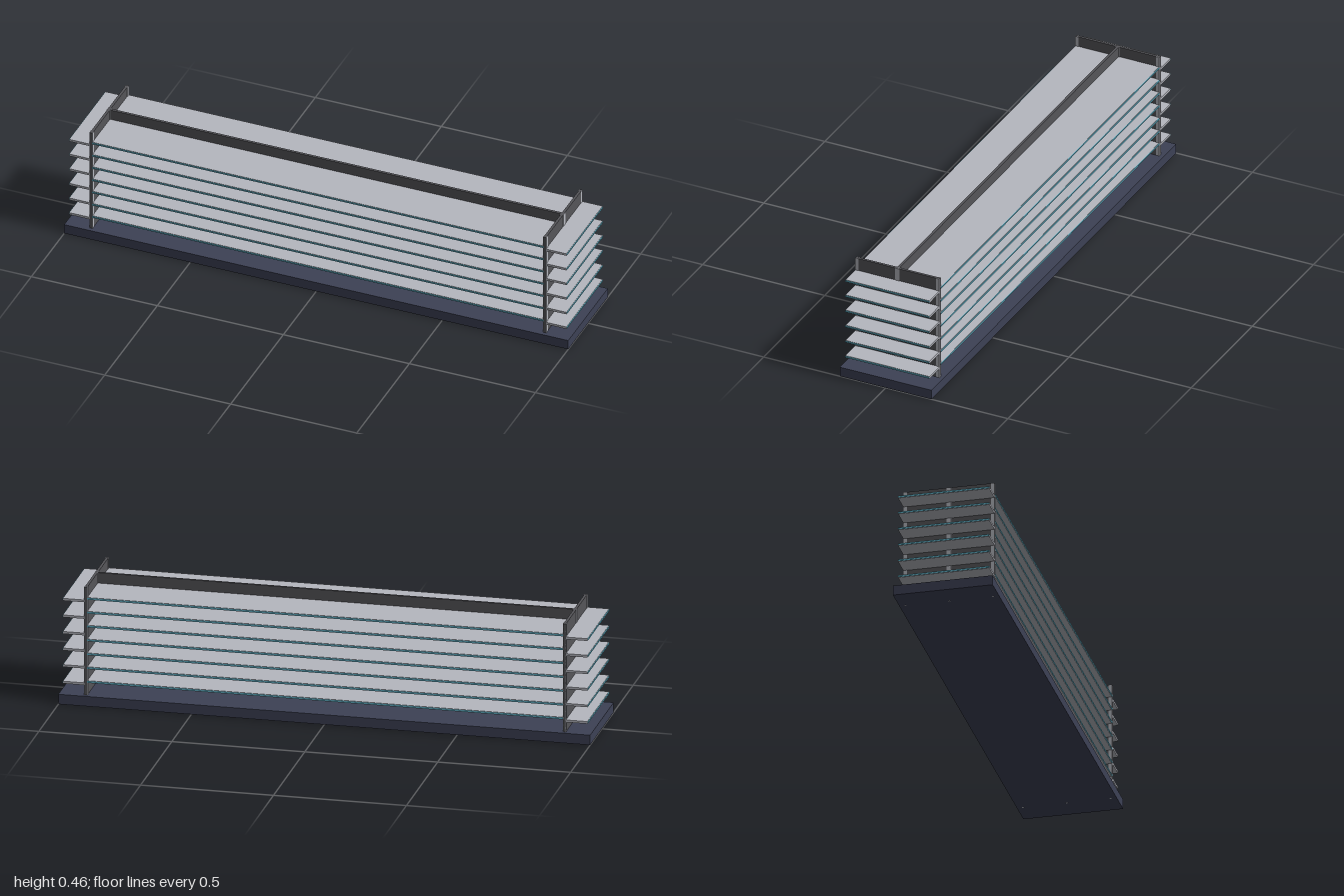
import * as THREE from 'three';

const mat = (name, color) => {
  const m = new THREE.MeshStandardMaterial({ color });
  m.name = name;
  return m;
};

export function createModel() {
  const model = new THREE.Group();
  model.name = 'shelfUnit';
  const navy = mat('navy base', 0x3d4155);
  const dark = mat('dark panel', 0x555559);
  const light = mat('light grey', 0xb5b7bf);
  const teal = mat('teal edge', 0x62b4ca);

  const box = (name, material, w, h, d, x, y, z) => {
    const m = new THREE.Mesh(new THREE.BoxGeometry(w, h, d), material);
    m.name = name;
    m.position.set(x, y, z);
    model.add(m);
    return m;
  };

  const baseH = 0.038, top = 0.456, depth = 0.344;
  const wallH = top - baseH, wallY = (top + baseH) / 2;
  const shelfT = 0.009, edgeT = 0.006;

  // Base plinth and the central back-to-back partition
  box('base', navy, 2, baseH, 0.376, 0, baseH / 2, 0);
  box('centrePartition', dark, 1.79, wallH, 0.01, 0, wallY, 0);

  // Long shelves on both faces, with a price rail along each outer edge
  for (let i = 0; i < 7; i++) {
    const y = 0.089 + i * 0.0537;
    for (const s of [-1, 1]) {
      box('longShelf', light, 1.79, shelfT, 0.166, 0, y, s * 0.088);
      box('longShelfRail', teal, 1.79, edgeT, 0.002, 0, y, s * 0.172);
    }
  }

  for (const s of [-1, 1]) {
    // End panel with light upright strips on both faces
    box('endPanel', dark, 0.01, wallH, depth, s * 0.9, wallY, 0);
    for (const [z, w] of [[-0.1652, 0.0136], [0, 0.018], [0.1652, 0.0136]]) {
      for (const f of [-1, 1]) {
        box('uprightStrip', light, 0.002, wallH, w, s * 0.9 + f * 0.0055, wallY, z);
      }
      // Fixing stud under the base
      const stud = new THREE.Mesh(new THREE.CylinderGeometry(0.004, 0.004, 0.002, 10), light);
      stud.name = 'fixingStud';
      stud.position.set(s * 0.9, 0.0005, z);
      model.add(stud);
    }
    // End shelves with rails facing outwards
    for (let i = 0; i < 6; i++) {
      const y = 0.08 + i * 0.0642;
      box('endShelf', light, 0.081, shelfT, depth, s * 0.9455, y, 0);
      box('endShelfRail', teal, 0.002, edgeT, depth, s * 0.987, y, 0);
    }
  }
  return model;
}
